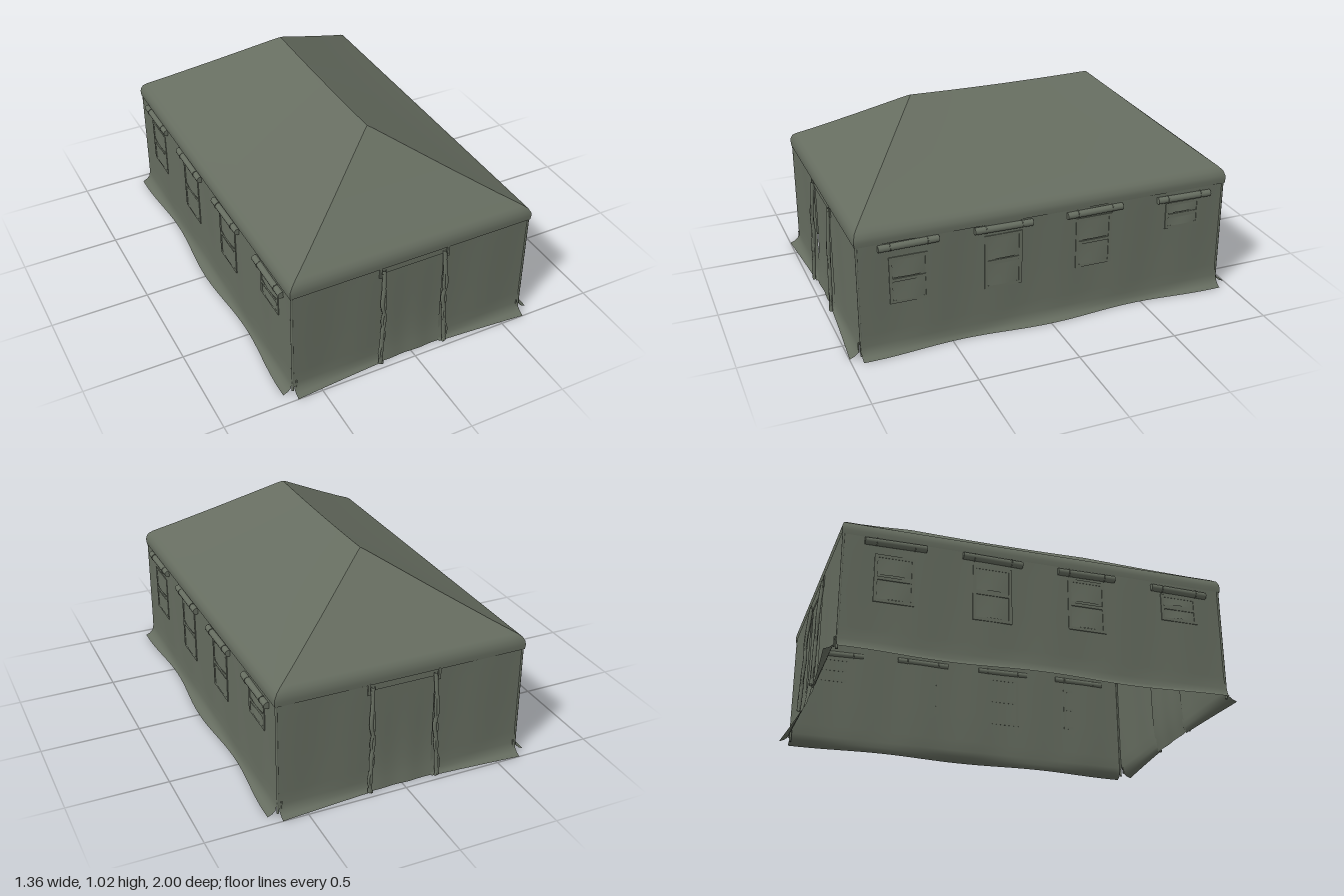
import * as THREE from 'three';

const canvas = new THREE.MeshStandardMaterial({ color: 0x666d60, side: THREE.DoubleSide });
canvas.name = 'olive canvas';

const HALF_X = 0.63, HALF_Z = 0.945, DOOR_W = 0.155, DOOR_H = 0.545, WALL_TOP = 0.62;

// Roof rings from ridge to valance hem: [half width x, half length z, height]
const ROOF = [
  [0, 0.47, 1.022], [0.02, 0.485, 1.012], [0.3, 0.7, 0.838], [0.5, 0.852, 0.717], [0.6, 0.927, 0.659],
  [0.622, 0.943, 0.643], [0.635, 0.951, 0.62], [0.637, 0.952, 0.6], [0.635, 0.95, 0.578],
];

// Wall profile from ground up: [height, share of the skirt flare]
const WALL = [[0.004, 1], [0.014, 0.55], [0.03, 0.2], [0.06, 0.07], [0.12, 0], [0.3, 0], [0.5, 0], [WALL_TOP, 0]];

function add(parent, name, geometry) {
  const mesh = new THREE.Mesh(geometry, canvas);
  mesh.name = name;
  parent.add(mesh);
  return mesh;
}

// Cloth sheet: u runs to the right seen from outside, v runs upwards
function sheet(nu, nv, point) {
  const pos = [], index = [];
  for (let j = 0; j <= nv; j++) {
    for (let i = 0; i <= nu; i++) pos.push(...point(i / nu, j));
  }
  for (let j = 0; j < nv; j++) {
    for (let i = 0; i < nu; i++) {
      const a = j * (nu + 1) + i, b = a + nu + 1;
      index.push(a, a + 1, b + 1, a, b + 1, b);
    }
  }
  const g = new THREE.BufferGeometry();
  g.setAttribute('position', new THREE.Float32BufferAttribute(pos, 3));
  g.setIndex(index);
  g.computeVertexNormals();
  return g;
}

// Roof panel in side coordinates: x along the side, z outwards
function roofPanel(isEnd) {
  const last = ROOF.length - 1;
  return sheet(24, last, (u, j) => {
    const k = last - j, [hx, hz, y] = ROOF[k];
    const s = 2 * u - 1, along = isEnd ? hx : hz, out = isEnd ? hz : hx;
    const sag = k < 5 ? 0.006 * (1 - s * s) : 0;
    return [s * along, y - (isEnd ? 0 : sag), out];
  });
}

// Wall stretch from x0 to x1 with a loose skirt at the ground
function wall(x0, x1, out, flare, n) {
  return sheet(n, WALL.length - 1, (u, j) => {
    const x = x0 + (x1 - x0) * u, [y, f] = WALL[j];
    const slack = y > 0.1 && y < 0.55 ? 0.002 * Math.sin(x * 19) : 0;
    return [x, y, out + slack + flare(x) * f];
  });
}

function tube(points, radius) {
  const curve = new THREE.CatmullRomCurve3(points.map(p => new THREE.Vector3(...p)));
  return new THREE.TubeGeometry(curve, 32, radius, 7);
}

// Window frame plate with two openings
function windowFrame(w, h) {
  const box = (p, x0, y0, x1, y1) =>
    p.moveTo(x0, y0).lineTo(x1, y0).lineTo(x1, y1).lineTo(x0, y1).closePath();
  const shape = new THREE.Shape();
  box(shape, -w / 2, 0, w / 2, h);
  const m = 0.016;
  for (const [a, b] of [[m, h * 0.5 - m / 2], [h * 0.5 + m / 2, h - m]]) {
    const hole = new THREE.Path();
    box(hole, -w / 2 + m, a, w / 2 - m, b);
    shape.holes.push(hole);
  }
  return new THREE.ExtrudeGeometry(shape, { depth: 0.005, bevelEnabled: false });
}

function createEnd() {
  const end = new THREE.Group();
  add(end, 'endRoof', roofPanel(true));
  const flare = x => 0.013 + 0.042 * Math.pow(Math.abs(x) / HALF_X, 1.3);

  // Wall either side of the door
  add(end, 'endWall', wall(DOOR_W, HALF_X - 0.005, HALF_Z, flare, 16));
  add(end, 'endWall', wall(-HALF_X + 0.005, -DOOR_W, HALF_Z, flare, 16));

  // Wall above the door
  const lintel = add(end, 'doorLintel', new THREE.PlaneGeometry(DOOR_W * 2, WALL_TOP - DOOR_H));
  lintel.position.set(0, (WALL_TOP + DOOR_H) / 2, HALF_Z);

  // Door curtain hanging just inside the opening
  add(end, 'door', sheet(16, 12, (u, j) => {
    const v = j / 12, x = (2 * u - 1) * (DOOR_W + 0.015);
    const bulge = 0.02 * Math.pow(1 - v, 6);
    return [x, 0.004 + v * (DOOR_H + 0.012), HALF_Z - 0.008 + bulge + 0.002 * Math.sin(x * 40) * (1 - v)];
  }));

  // Gathered door edges with a tie cord hanging alongside
  for (const s of [-1, 1]) {
    add(end, 'doorEdgeRoll', tube([
      [s * 0.160, 0.565, 0.948], [s * 0.164, 0.47, 0.957], [s * 0.172, 0.37, 0.963], [s * 0.158, 0.29, 0.962],
      [s * 0.170, 0.2, 0.966], [s * 0.172, 0.1, 0.968], [s * 0.178, 0.012, 0.972],
    ], 0.010));
    add(end, 'doorEdgeFold', tube([
      [s * 0.168, 0.55, 0.95], [s * 0.160, 0.44, 0.96], [s * 0.158, 0.36, 0.965], [s * 0.172, 0.27, 0.964],
      [s * 0.160, 0.18, 0.968], [s * 0.186, 0.08, 0.972], [s * 0.168, 0.01, 0.975],
    ], 0.007));
    const tab = add(end, 'doorTab', new THREE.BoxGeometry(0.012, 0.06, 0.006));
    tab.position.set(s * 0.18, 0.555, HALF_Z + 0.003);
  }
  return end;
}

function createSide() {
  const side = new THREE.Group();
  add(side, 'sideRoof', roofPanel(false));
  const flare = z => 0.035 + 0.014 * Math.cos(z * 2 * Math.PI / 0.9);
  add(side, 'sideWall', wall(-HALF_Z, HALF_Z, HALF_X, flare, 60));

  // Windows: [position, bottom, top, height of the rolled cover]
  const windows = [[-0.70, 0.26, 0.5, 0.558], [-0.235, 0.24, 0.52, 0.556], [0.235, 0.26, 0.525, 0.553], [0.72, 0.38, 0.52, 0.543]];
  windows.forEach(([x, y0, y1, rollY], i) => {
    const w = 0.19, h = y1 - y0;
    add(side, 'windowFrame', windowFrame(w, h)).position.set(x, y0, HALF_X);

    // Loose cloth flaps in the two openings
    for (const k of [0, 1]) {
      const flap = add(side, 'windowFlap', sheet(8, 5, (u, j) => {
        const v = j / 5;
        return [(u - 0.5) * (w - 0.034), v * (h / 2 - 0.03), 0.001 + 0.006 * (1 - v) * Math.sin(Math.PI * u)];
      }));
      flap.position.set(x, y0 + 0.015 + k * h / 2, HALF_X + 0.002);
    }

    // Rolled up cover under the eave
    const roll = add(side, 'windowRoll', new THREE.CylinderGeometry(0.017, 0.017, 0.29, 12));
    roll.rotation.z = Math.PI / 2 + (i % 2 ? -0.015 : 0.01);
    roll.position.set(x, rollY, HALF_X + 0.008);
    for (const s of [-1, 1]) {
      const strap = add(side, 'rollStrap', new THREE.TorusGeometry(0.018, 0.002, 6, 14));
      strap.rotation.y = Math.PI / 2;
      strap.position.set(x + s * 0.09, rollY, HALF_X + 0.008);
    }
  });
  return side;
}

export function createModel() {
  const tent = new THREE.Group();
  tent.name = 'tent';
  for (const [name, build, angle] of [
    ['frontEnd', createEnd, 0], ['backEnd', createEnd, Math.PI],
    ['leftSide', createSide, Math.PI / 2], ['rightSide', createSide, -Math.PI / 2],
  ]) {
    const part = build();
    part.name = name;
    part.rotation.y = angle;
    tent.add(part);
  }

  // Stitched corner seams and lacing tabs
  for (const sx of [-1, 1]) {
    for (const sz of [-1, 1]) {
      const seam = add(tent, 'cornerSeam', new THREE.CylinderGeometry(0.006, 0.006, WALL_TOP - 0.01, 8));
      seam.position.set(sx * (HALF_X - 0.003), WALL_TOP / 2 + 0.005, sz * (HALF_Z - 0.003));
      const tab = add(tent, 'cornerTab', new THREE.BoxGeometry(0.006, 0.05, 0.006));
      tab.position.set(sx * 0.612, 0.05, sz * (HALF_Z + 0.006));
    }
  }
  return tent;
}
